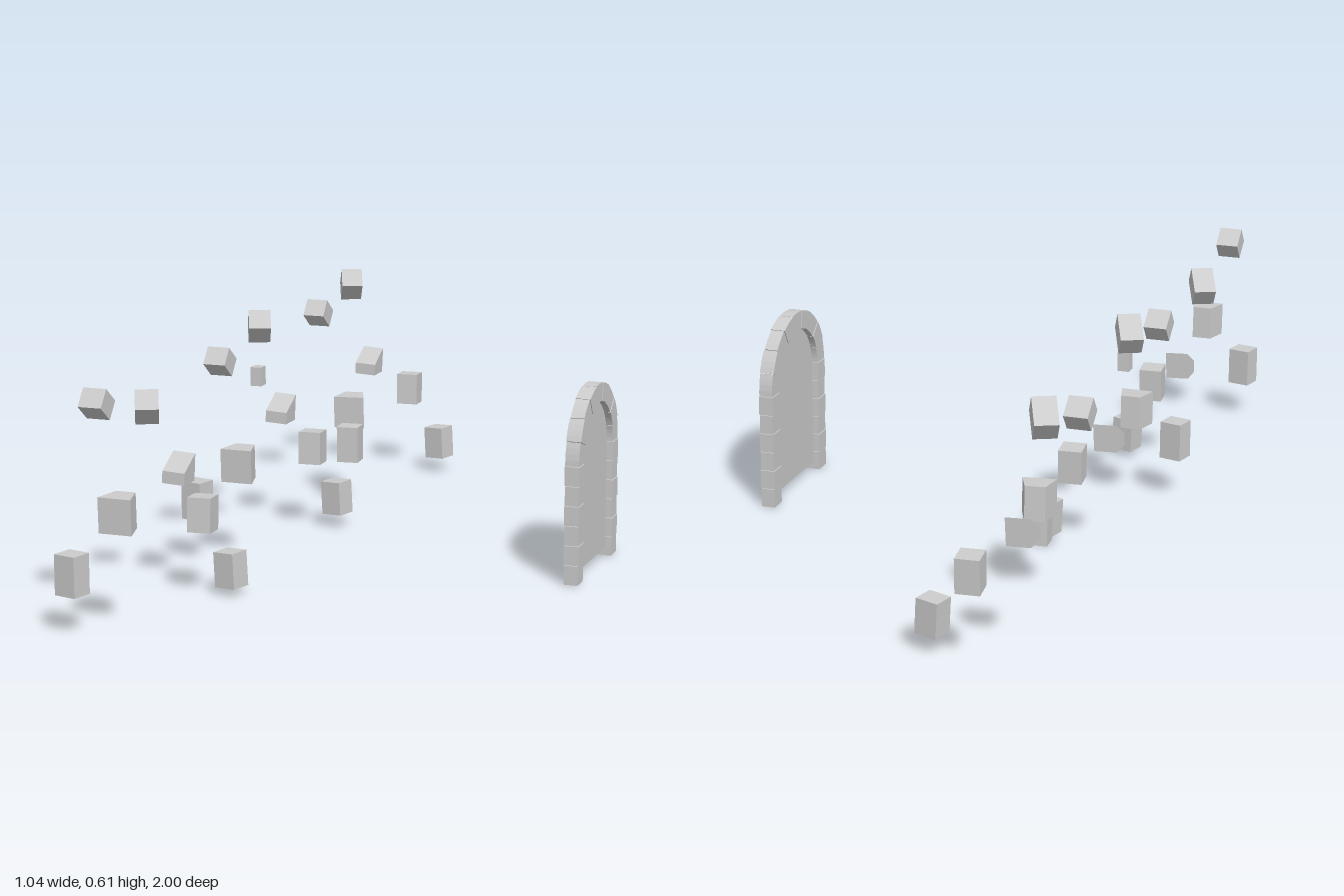
import * as THREE from 'three';

const grey = new THREE.MeshStandardMaterial({ color: 0xcccccc, flatShading: true });
const rad = THREE.MathUtils.degToRad;

// Rough stone: a box whose back end may be narrower and whose front end may be lower.
function stone(name, [w, h, d], pos, rot, { back = 1, front = 1 } = {}) {
  const geo = new THREE.BoxGeometry(w, h, d);
  const p = geo.attributes.position;
  for (let i = 0; i < p.count; i++) {
    if (p.getZ(i) < 0) p.setX(i, p.getX(i) * back);
    else if (p.getY(i) > 0) p.setY(i, h * (front - 0.5));
  }
  geo.computeVertexNormals();
  const mesh = new THREE.Mesh(geo, grey);
  mesh.name = name;
  mesh.position.set(...pos);
  mesh.rotation.set(...rot.map(rad), 'YXZ');
  return mesh;
}

// Arched gate, drawn in x-y and turned to face sideways.
function gate() {
  const group = new THREE.Group();
  group.name = 'gate';
  const outer = 0.179, inner = 0.131, spring = 0.306, depth = 0.036;
  const add = (name, geo, y = 0) => {
    const mesh = new THREE.Mesh(geo, grey);
    mesh.name = name;
    mesh.position.y = y;
    group.add(mesh);
    return mesh;
  };

  // pillars of stacked stones
  const courses = 6, step = spring / courses;
  for (const side of [-1, 1]) {
    for (let i = 0; i < courses; i++) {
      const geo = new THREE.BoxGeometry(outer - inner, step - 0.0015, depth + (i % 2) * 0.003);
      add('pillarStone', geo, (i + 0.5) * step).position.x = side * (outer + inner) / 2;
    }
  }

  // wedge stones of the arch
  const wedges = 9;
  for (let i = 0; i < wedges; i++) {
    const a = (i / wedges) * Math.PI + 0.004, b = ((i + 1) / wedges) * Math.PI - 0.004;
    const shape = new THREE.Shape();
    shape.absarc(0, 0, outer, a, b, false);
    shape.absarc(0, 0, inner, b, a, true);
    const t = depth + (i % 2) * 0.003;
    const geo = new THREE.ExtrudeGeometry(shape, { depth: t, bevelEnabled: false, curveSegments: 2 });
    geo.translate(0, 0, -t / 2);
    add('archStone', geo, spring);
  }

  // thin door panel filling the opening
  const panel = new THREE.Shape();
  panel.moveTo(-inner, 0.022);
  panel.lineTo(inner, 0.022);
  panel.absarc(0, spring, inner, 0, Math.PI, false);
  const door = new THREE.ExtrudeGeometry(panel, { depth: 0.004, bevelEnabled: false, curveSegments: 18 });
  door.translate(0, 0, -0.002);
  add('doorPanel', door);

  group.rotation.y = Math.PI / 2;
  group.position.set(0.502, 0, -0.016);
  return group;
}

export function createModel() {
  const model = new THREE.Group();
  model.add(gate());

  // three-stone clusters: tilted upper stone, wedge-shaped middle stone, lower stone
  const trios = [
    [[-0.465, 0.535, 0.852], [-0.386, 0.287, 0.9], [-0.487, 0.145, 0.96], 0, -14],
    [[-0.46, 0.505, 0.135], [-0.383, 0.25, 0.185], [-0.482, 0.16, 0.243], 0, -14],
    [[-0.477, 0.508, -0.605], [-0.35, 0.25, -0.533], [-0.333, 0.168, -0.474], 8, 5],
  ];
  for (const [high, mid, low, midTurn, lowTurn] of trios) {
    model.add(
      stone('upperStone', [0.06, 0.052, 0.06], high, [-38, 0, 0]),
      stone('middleStone', [0.085, 0.088, 0.066], mid, [2, midTurn, 0], { back: 0.6 }),
      stone('lowerStone', [0.06, 0.1, 0.056], low, [0, lowTurn, 0]),
    );
  }

  // four-stone clusters: tilted crown, sloped shoulder, middle and foot stones
  const quads = [
    [[-0.453, 0.478, 0.6], [-0.43, 0.297, 0.47], [-0.333, 0.207, 0.545], [-0.272, 0.064, 0.517]],
    [[-0.453, 0.555, -0.115], [-0.43, 0.315, -0.203], [-0.33, 0.22, -0.183], [-0.27, 0.08, -0.208]],
    [[-0.453, 0.56, -0.805], [-0.43, 0.32, -0.89], [-0.333, 0.23, -0.97], [-0.222, 0.087, -0.917]],
  ];
  for (const [crown, shoulder, mid, foot] of quads) {
    model.add(
      stone('crownStone', [0.058, 0.056, 0.08], crown, [-38, 25, 0]),
      stone('shoulderStone', [0.06, 0.07, 0.064], shoulder, [0, 0, -3], { front: 0.45 }),
      stone('middleStone', [0.06, 0.088, 0.062], mid, [-3, 5, 0]),
      stone('footStone', [0.06, 0.09, 0.057], foot, [0, -15, 3]),
    );
  }

  // small loose stone at the centre
  model.add(stone('smallStone', [0.03, 0.05, 0.032], [-0.41, 0.445, 0], [0, 0, 0]));
  return model;
}
